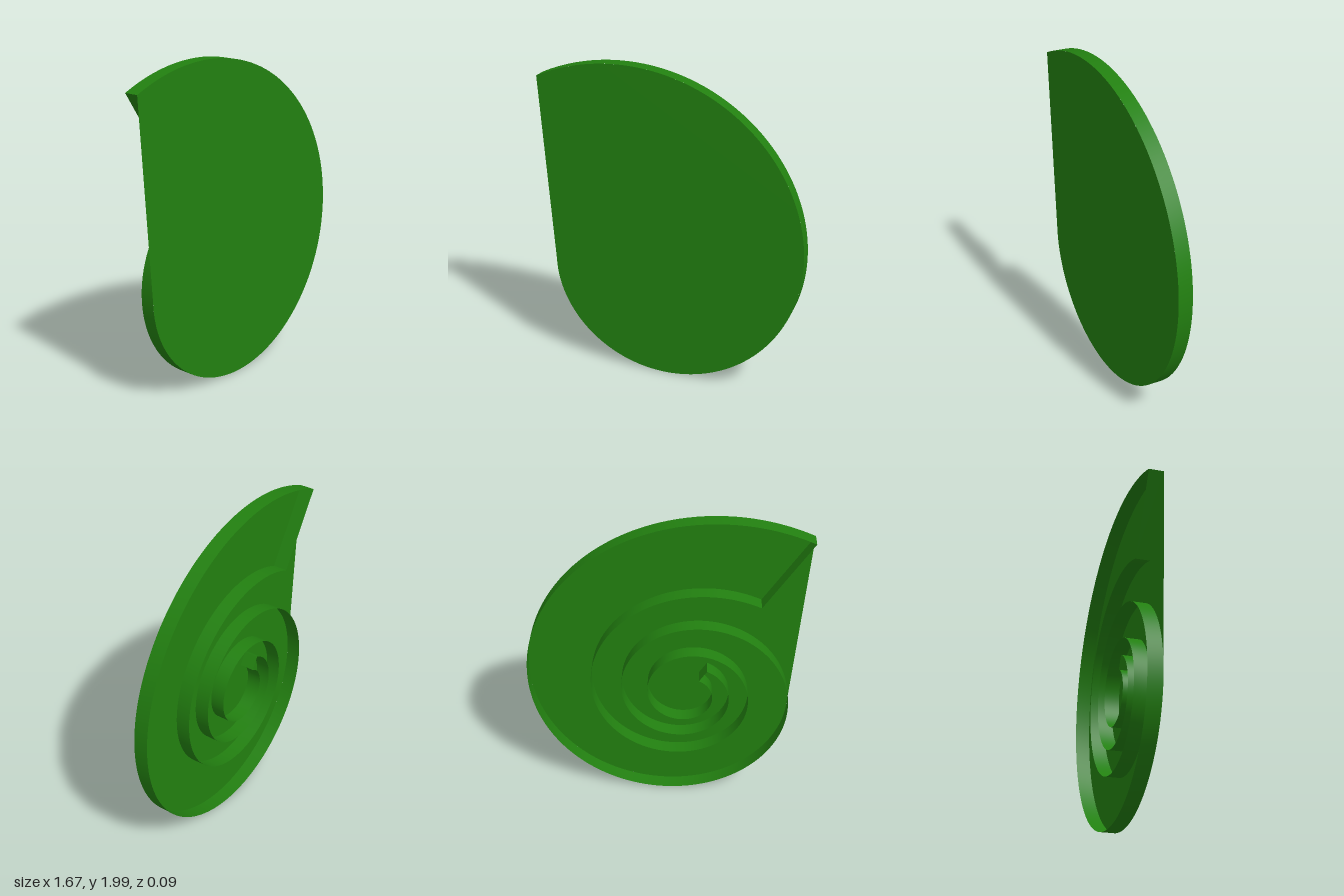
import * as THREE from 'three';

const CENTRE = { x: -0.14, y: 0.78 };
const TIP_ANGLE = 2.142;                       // outer mouth of the spiral
const GROWTH = Math.log(2.42) / (2 * Math.PI); // radius grows 2.42 times per turn
const OUTER = 1.3, INNER = 0.785;              // edge radii at the mouth
const HALF = 0.045;                            // half depth
const TURNS = 2;

// Point on a logarithmic spiral, wound inward by `turn` radians from the mouth
function spiralPoint(radius, turn) {
  const r = radius * Math.exp(-GROWTH * turn);
  const a = TIP_ANGLE - turn;
  return new THREE.Vector2(CENTRE.x + r * Math.cos(a), CENTRE.y + r * Math.sin(a));
}

// Upright strip that follows a plan curve from the front to the back
function wall(name, pointAt, segments, material) {
  const geometry = new THREE.PlaneGeometry(1, 2 * HALF, segments, 1);
  const pos = geometry.attributes.position;
  for (let i = 0; i < pos.count; i++) {
    const p = pointAt(pos.getX(i) + 0.5);
    pos.setXYZ(i, p.x, p.y, pos.getY(i));
  }
  geometry.computeVertexNormals();
  const mesh = new THREE.Mesh(geometry, material);
  mesh.name = name;
  return mesh;
}

export function createModel() {
  const model = new THREE.Group();
  model.name = 'spiralShell';
  const green = new THREE.MeshStandardMaterial({ color: 0x228010, side: THREE.DoubleSide });

  // Front plate: last outer turn, closed by a straight edge
  const outline = [];
  for (let i = 0; i <= 120; i++) outline.push(spiralPoint(OUTER, (5.03 * i) / 120));
  const plate = new THREE.Mesh(new THREE.ShapeGeometry(new THREE.Shape(outline)), green);
  plate.name = 'frontPlate';
  plate.position.z = HALF;
  model.add(plate);

  // Outer and inner walls of the widening spiral band, open at the back
  const sweep = TURNS * 2 * Math.PI;
  model.add(wall('outerSpiralWall', t => spiralPoint(OUTER, t * sweep), 280, green));
  model.add(wall('innerSpiralWall', t => spiralPoint(INNER, (1 - t) * sweep), 280, green));

  // Short walls closing the band at its mouth and its centre
  const across = turn => t =>
    spiralPoint(INNER, turn).lerp(spiralPoint(OUTER, turn), t);
  model.add(wall('mouthEndWall', across(0), 1, green));
  model.add(wall('centreEndWall', t => across(sweep)(1 - t), 1, green));

  return model;
}
